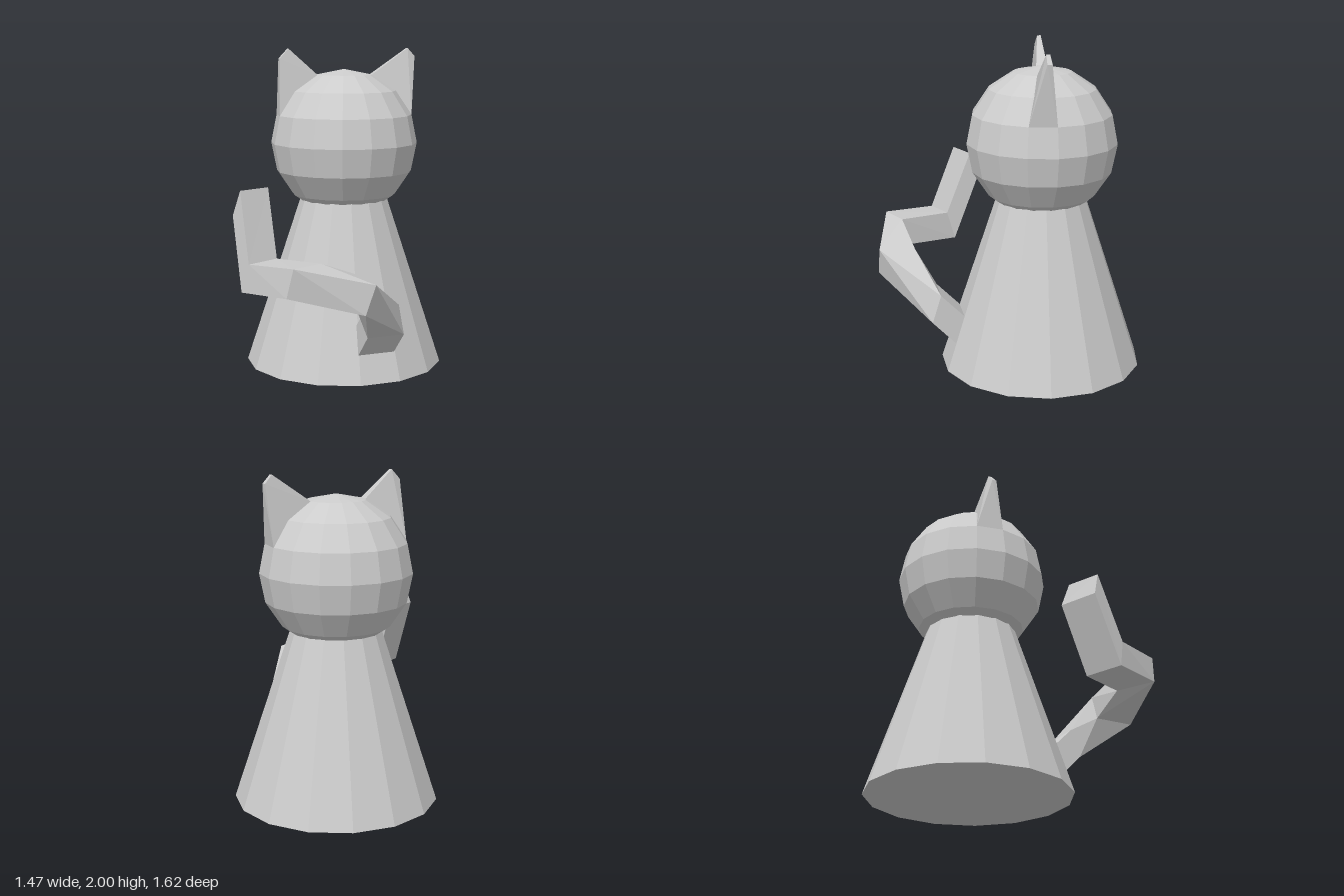
import * as THREE from 'three';
import { ConvexGeometry } from 'three/addons/geometries/ConvexGeometry.js';

const material = new THREE.MeshStandardMaterial({ color: 0xcccccc, flatShading: true });
const CX = 0.113, CZ = -0.183; // axis of body and head
const HEAD_Y = 1.41, HEAD_R = 0.462;

function part(name, geometry) {
  const mesh = new THREE.Mesh(geometry, material);
  mesh.name = name;
  return mesh;
}

// Point on the head, angle measured from +x towards +z, in degrees
function onHead(angle, elevation) {
  const a = THREE.MathUtils.degToRad(angle), e = THREE.MathUtils.degToRad(elevation);
  const r = HEAD_R * Math.cos(e);
  return new THREE.Vector3(CX + r * Math.cos(a), HEAD_Y + HEAD_R * Math.sin(e), CZ + r * Math.sin(a));
}

// Ear: wedge rising from one strip of the head to a small blunt tip
function ear(name, startAngle, tip) {
  const points = tip.map((p) => new THREE.Vector3(...p));
  for (const angle of [startAngle, startAngle + 22.5]) {
    points.push(onHead(angle, 22.5), onHead(angle, 67.5));
  }
  return part(name, new ConvexGeometry(points));
}

// Four-sided tube through rings of [outerTop, innerTop, innerBottom, outerBottom]
function squareTube(rings) {
  const index = [];
  for (let i = 0; i < rings.length - 1; i++) {
    for (let j = 0; j < 4; j++) {
      const a = i * 4 + j, b = i * 4 + (j + 1) % 4;
      index.push(a, b, b + 4, a, b + 4, a + 4);
    }
  }
  const e = (rings.length - 1) * 4;
  index.push(0, 2, 1, 0, 3, 2, e, e + 1, e + 2, e, e + 2, e + 3);
  const geometry = new THREE.BufferGeometry();
  geometry.setAttribute('position', new THREE.Float32BufferAttribute(rings.flat(2), 3));
  geometry.setIndex(index);
  const flat = geometry.toNonIndexed();
  flat.computeVertexNormals();
  return flat;
}

export function createModel() {
  const group = new THREE.Group();
  group.name = 'catFigure';

  // Conical body, narrowing into the head
  const body = part('body', new THREE.CylinderGeometry(0.23, 0.625, 1.2, 15));
  body.position.set(CX, 0.6, CZ);
  body.rotation.y = Math.PI;
  group.add(body);

  // Faceted head
  const head = part('head', new THREE.SphereGeometry(HEAD_R, 16, 8));
  head.position.set(CX, HEAD_Y, CZ);
  group.add(head);

  // Ears, turned half round from each other
  group.add(ear('leftEar', 0, [
    [0.52, 2.0, -0.115], [0.52, 2.0, -0.138], [0.567, 1.95, -0.112], [0.567, 1.95, -0.142],
  ]));
  group.add(ear('rightEar', 180, [
    [-0.24, 2.0, -0.225], [-0.24, 2.0, -0.248], [-0.298, 1.94, -0.222], [-0.298, 1.94, -0.25],
  ]));

  // Tail, leaving the front of the body and curling round to the right
  group.add(part('tail', squareTube([
    [[0.215, 0.25, 0.22], [0, 0.25, 0.22], [-0.01, 0.08, 0.28], [0.225, 0.08, 0.28]],
    [[0.215, 0.49, 0.46], [0, 0.49, 0.46], [-0.01, 0.32, 0.515], [0.225, 0.32, 0.515]],
    [[-0.08, 0.71, 0.805], [-0.06, 0.71, 0.585], [-0.12, 0.55, 0.58], [-0.145, 0.54, 0.81]],
    [[-0.54, 0.82, 0.72], [-0.345, 0.82, 0.635], [-0.36, 0.645, 0.575], [-0.575, 0.65, 0.7]],
    [[-0.7, 0.795, 0.4], [-0.505, 0.8, 0.32], [-0.505, 0.625, 0.27], [-0.733, 0.625, 0.36]],
    [[-0.7, 1.2, 0.245], [-0.505, 1.2, 0.165], [-0.505, 1.05, 0.11], [-0.733, 1.05, 0.2]],
  ])));

  return group;
}
